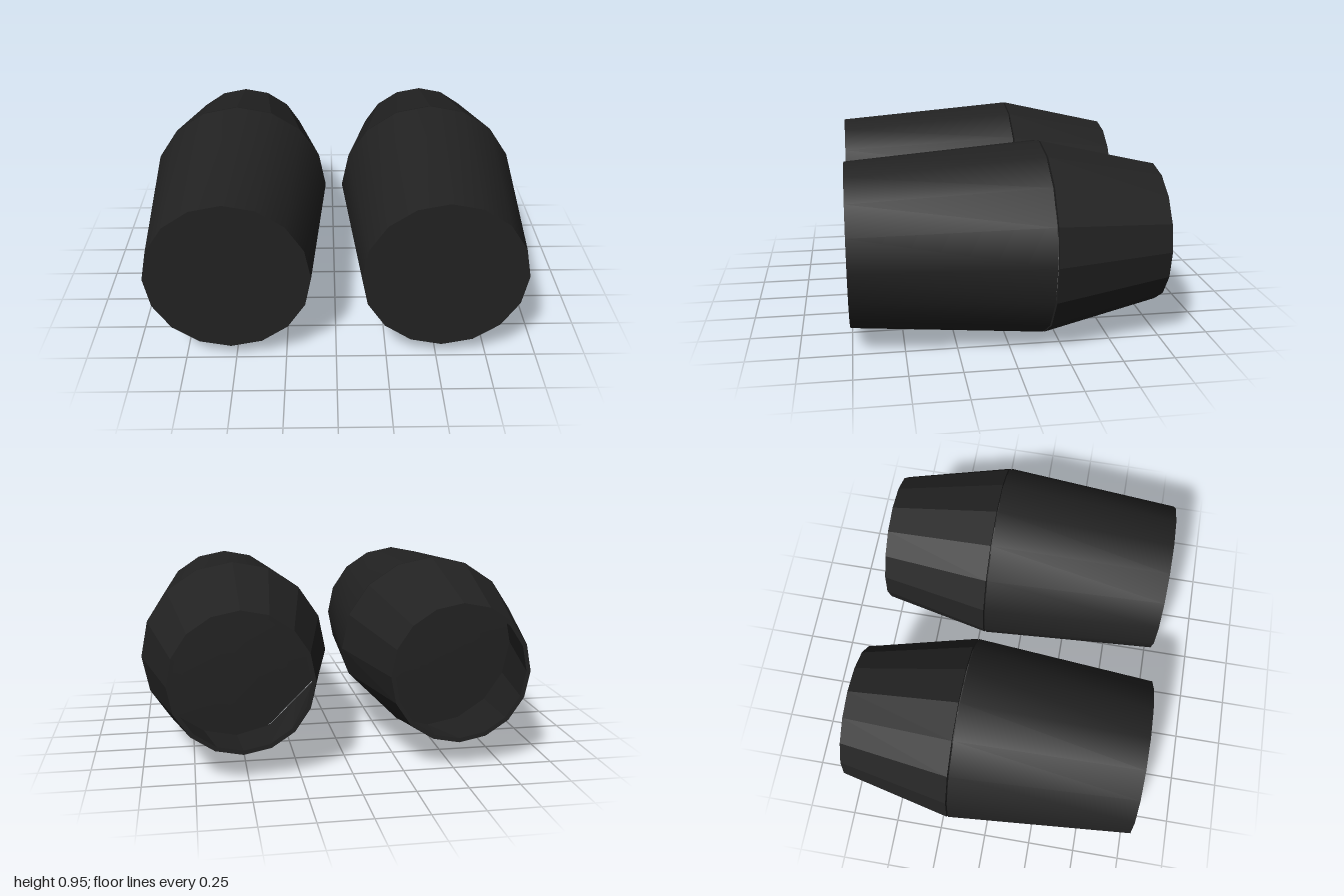
import * as THREE from 'three';
import { toCreasedNormals } from 'three/addons/utils/BufferGeometryUtils.js';

const SIDES = 16;
const BEVEL = 0.58;

// Ring point; the lower inner corner is cut by a 45 degree plane facing the other barrel
function ringPoint(r, z, j, side) {
  const a = ((j % SIDES) / SIDES) * Math.PI * 2;
  const x = r * Math.cos(a);
  const y = Math.max(r * Math.sin(a), -side * x - BEVEL);
  return [x, y, z];
}

// Skin a list of [radius, z] rings, running front to back on the outside
function loft(profile, side) {
  const pos = [];
  for (let i = 0; i < profile.length - 1; i++) {
    const [r0, z0] = profile[i];
    const [r1, z1] = profile[i + 1];
    for (let j = 0; j < SIDES; j++) {
      const a = ringPoint(r0, z0, j, side);
      const b = ringPoint(r0, z0, j + 1, side);
      const c = ringPoint(r1, z1, j, side);
      const d = ringPoint(r1, z1, j + 1, side);
      if (r0 > 0) pos.push(...a, ...c, ...b);
      if (r1 > 0) pos.push(...b, ...c, ...d);
      // centre fans keep only the triangle that has area
      if (r0 === 0) pos.splice(pos.length - 9, 9, ...a, ...c, ...d);
    }
  }
  const geo = new THREE.BufferGeometry();
  geo.setAttribute('position', new THREE.Float32BufferAttribute(pos, 3));
  geo.computeVertexNormals();
  return geo;
}

export function createModel() {
  const model = new THREE.Group();
  model.name = 'twinBarrels';
  const black = new THREE.MeshStandardMaterial({ color: 0x222222 });
  black.name = 'matteBlack';

  for (const side of [-1, 1]) {
    const barrel = new THREE.Group();
    barrel.name = side > 0 ? 'leftBarrel' : 'rightBarrel';
    barrel.position.set(side * 0.523, 0.479, 0);

    // Solid body, with a shallow raised seat on its back end
    const body = loft([
      [0, 0.756], [0.402, 0.756], [0.477, -0.177], [0.29, -0.185], [0, -0.185],
    ], side);
    const bodyMesh = new THREE.Mesh(toCreasedNormals(body, 0.5), black);
    bodyMesh.name = 'body';

    // Hollow faceted cone, open at the back
    const cone = loft([
      [0.477, -0.185], [0.345, -0.756], [0.324, -0.756], [0.452, -0.185], [0.477, -0.185],
    ], side);
    const coneMesh = new THREE.Mesh(cone, black);
    coneMesh.name = 'rearCone';

    barrel.add(bodyMesh, coneMesh);
    model.add(barrel);
  }
  return model;
}
